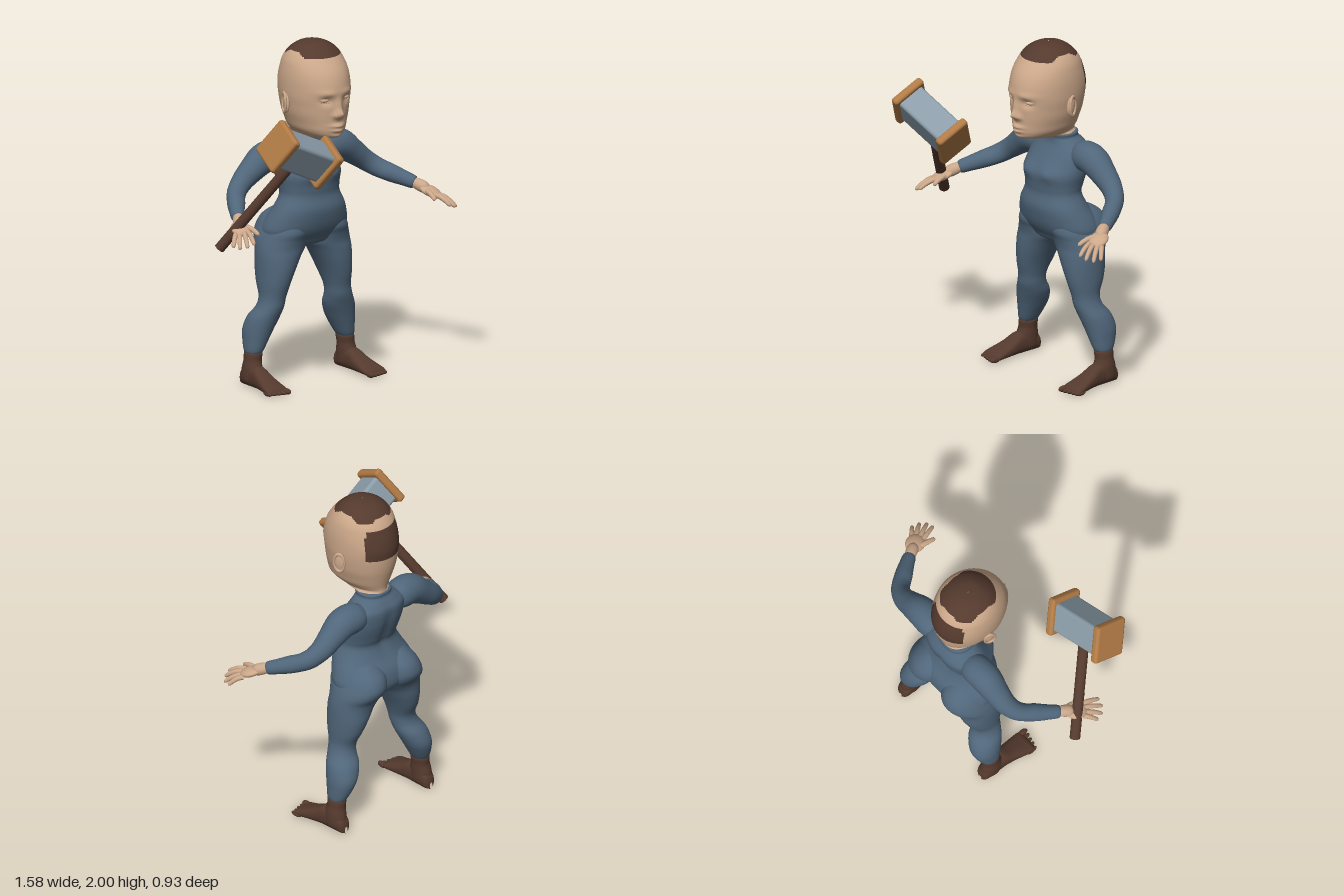
import * as THREE from 'three';
import { mergeVertices } from 'three/addons/utils/BufferGeometryUtils.js';
import { RoundedBoxGeometry } from 'three/addons/geometries/RoundedBoxGeometry.js';

const V = (x, y, z) => new THREE.Vector3(x, y, z);
const material = (name, hex) => {
  const m = new THREE.MeshStandardMaterial({ color: hex });
  m.name = name;
  return m;
};

// Catmull-Rom interpolation through a list of number rows
function sample(keys, t) {
  const f = t * (keys.length - 1), i = Math.min(Math.floor(f), keys.length - 2), s = f - i;
  const at = k => keys[Math.max(0, Math.min(keys.length - 1, k))];
  const [a, b, c, d] = [at(i - 1), at(i), at(i + 1), at(i + 2)];
  return b.map((_, n) => 0.5 * (2 * b[n] + (c[n] - a[n]) * s
    + (2 * a[n] - 5 * b[n] + 4 * c[n] - d[n]) * s * s
    + (3 * b[n] - a[n] - 3 * c[n] + d[n]) * s * s * s));
}

// Turn the faces outward and smooth the normals
function outward(geo) {
  const p = geo.attributes.position, ix = geo.index.array;
  const a = V(), b = V(), c = V();
  let volume = 0;
  for (let i = 0; i < ix.length; i += 3) {
    a.fromBufferAttribute(p, ix[i]); b.fromBufferAttribute(p, ix[i + 1]); c.fromBufferAttribute(p, ix[i + 2]);
    volume += a.dot(b.cross(c));
  }
  if (volume < 0) for (let i = 0; i < ix.length; i += 3) [ix[i], ix[i + 1]] = [ix[i + 1], ix[i]];
  geo.computeVertexNormals();
  return geo;
}

function welded(geo) {
  geo.deleteAttribute('uv');
  geo.deleteAttribute('normal');
  return outward(mergeVertices(geo, 1e-5));
}

// Closed skin through cross-sections; place(row, cos, sin) gives a point
function loft(keys, rows, segs, power, place) {
  const pos = [], idx = [];
  const soft = v => Math.sign(v) * Math.pow(Math.abs(v), 2 / power);
  for (let r = 0; r <= rows; r++) {
    const row = sample(keys, r / rows);
    for (let s = 0; s < segs; s++) {
      const th = (s / segs) * Math.PI * 2;
      pos.push(...place(row, soft(Math.cos(th)), soft(Math.sin(th))));
      if (r === rows) continue;
      const n = (s + 1) % segs, a = r * segs + s, b = r * segs + n;
      idx.push(a, a + segs, b, b, a + segs, b + segs);
    }
  }
  const geo = new THREE.BufferGeometry();
  geo.setAttribute('position', new THREE.Float32BufferAttribute(pos, 3));
  geo.setIndex(idx);
  return outward(geo);
}

// Tube along points [x, y, z, radius]
function limb(points, rows = 32, segs = 20) {
  const curve = new THREE.CatmullRomCurve3(points.map(p => V(p[0], p[1], p[2])));
  curve.getPointAt = t => curve.getPoint(t);
  const geo = new THREE.TubeGeometry(curve, rows, 1, segs), p = geo.attributes.position, v = V();
  for (let i = 0; i < p.count; i++) {
    const t = Math.floor(i / (segs + 1)) / rows, c = curve.getPoint(t);
    const r = Math.max(0.001, sample(points.map(q => [q[3]]), t)[0]);
    v.fromBufferAttribute(p, i).sub(c).multiplyScalar(r).add(c);
    p.setXYZ(i, v.x, v.y, v.z);
  }
  return welded(geo);
}

// Ellipsoid, its z axis along dir
function blob(x, y, z, rx, ry, rz, dir = V(0, 0, 1)) {
  const geo = new THREE.SphereGeometry(1, 24, 16).scale(rx, ry, rz);
  geo.applyMatrix4(new THREE.Matrix4().lookAt(dir, V(0, 0, 0), V(0, 1, 0)));
  return welded(geo.translate(x, y, z));
}

const bump = (x, y, cx, cy, sx, sy) => Math.exp(-(((x - cx) / sx) ** 2) - ((y - cy) / sy) ** 2);

export function createModel() {
  const model = new THREE.Group();
  model.name = 'figureWithMallet';
  const suit = material('blue suit', 0x50667a), skin = material('skin', 0xcca88a);
  const brown = material('dark brown', 0x553a2e), wood = material('light wood', 0xb07a45);
  const metal = material('grey metal', 0x8b9da9);

  const add = (name, geo, mat, parent = model) => {
    const mesh = new THREE.Mesh(geo, mat);
    mesh.name = name;
    parent.add(mesh);
    return mesh;
  };
  const pair = (name, geo, mat) => {
    add(name + 'Left', geo, mat);
    add(name + 'Right', outward(geo.clone().scale(-1, 1, 1)), mat);
  };

  // Torso: y, half width, front z, back z
  const torso = [
    [1.45, 0.02, -0.24, -0.28], [1.448, 0.1, -0.175, -0.352], [1.42, 0.106, -0.178, -0.358],
    [1.39, 0.15, -0.175, -0.38], [1.35, 0.19, -0.155, -0.4], [1.28, 0.2, -0.11, -0.395],
    [1.22, 0.2, -0.078, -0.38], [1.15, 0.187, -0.082, -0.355], [1.1, 0.187, -0.085, -0.34],
    [1.03, 0.222, -0.07, -0.365], [0.96, 0.255, -0.08, -0.41], [0.9, 0.272, -0.1, -0.425],
    [0.85, 0.25, -0.13, -0.42], [0.81, 0.15, -0.16, -0.39], [0.79, 0.02, -0.25, -0.3]];
  add('torso', loft(torso, 80, 56, 2.2, ([y, w, f, b], c, s) => {
    const x = w * c;
    let z = (f + b) / 2 + (f - b) / 2 * s;
    if (s > 0) z += 0.016 * bump(Math.abs(x), y, 0.09, 1.235, 0.05, 0.04);
    else z += 0.015 * bump(x, y, 0, 1.2, 0.03, 0.15);
    return [x, y, z];
  }), suit);

  // Legs: y, inner x, outer x, front z, back z
  const across = ([y, i, o, f, b], c, s) => [(i + o) / 2 + (o - i) / 2 * c, y, (f + b) / 2 + (f - b) / 2 * s];
  pair('leg', loft([
    [1.03, 0.1, 0.12, -0.28, -0.3], [1.01, 0.06, 0.18, -0.2, -0.37], [0.96, 0.015, 0.235, -0.13, -0.44],
    [0.9, 0.002, 0.268, -0.11, -0.466], [0.85, 0.002, 0.288, -0.125, -0.455], [0.8, 0.014, 0.3, -0.135, -0.42],
    [0.75, 0.052, 0.305, -0.135, -0.405], [0.68, 0.092, 0.306, -0.138, -0.397], [0.6, 0.13, 0.305, -0.15, -0.375],
    [0.52, 0.157, 0.303, -0.17, -0.34], [0.46, 0.166, 0.32, -0.178, -0.345], [0.4, 0.177, 0.355, -0.195, -0.385],
    [0.33, 0.207, 0.372, -0.215, -0.405], [0.27, 0.238, 0.375, -0.23, -0.395], [0.2, 0.278, 0.373, -0.25, -0.365],
    [0.19, 0.3, 0.35, -0.28, -0.34]], 80, 36, 2.1, across), suit);
  pair('ankle', loft([
    [0.2, 0.31, 0.34, -0.29, -0.33], [0.198, 0.279, 0.372, -0.25, -0.364], [0.15, 0.283, 0.38, -0.25, -0.364],
    [0.1, 0.284, 0.388, -0.235, -0.375], [0.03, 0.29, 0.385, -0.24, -0.38], [0.01, 0.32, 0.35, -0.29, -0.33]],
  24, 28, 2, across), brown);

  // Feet: z, centre x, half width, height
  pair('foot', loft([
    [-0.39, 0.335, 0.01, 0.04], [-0.375, 0.335, 0.036, 0.085], [-0.33, 0.336, 0.046, 0.12], [-0.24, 0.338, 0.05, 0.125],
    [-0.17, 0.342, 0.058, 0.09], [-0.1, 0.348, 0.068, 0.06], [-0.055, 0.35, 0.069, 0.042], [-0.035, 0.35, 0.05, 0.02]],
  40, 32, 2.5, ([z, x, w, h], c, s) => [x + w * c, h / 2 + h / 2 * s, z]), brown);
  for (let i = 0; i < 5; i++) {
    const r = i === 0 ? 0.018 : 0.0135;
    pair('toe' + (i + 1), blob(0.298 + 0.028 * i, r, -0.036 - 0.007 * i, r, r, 0.036), brown);
  }

  // Arms and hands
  pair('arm', limb([
    [0.1, 1.33, -0.29, 0.05], [0.17, 1.332, -0.29, 0.085], [0.27, 1.325, -0.285, 0.088], [0.36, 1.265, -0.285, 0.073],
    [0.44, 1.205, -0.277, 0.061], [0.5, 1.16, -0.24, 0.056], [0.55, 1.13, -0.175, 0.052],
    [0.595, 1.105, -0.11, 0.044], [0.63, 1.085, -0.055, 0.035], [0.635, 1.082, -0.047, 0.004]], 60, 28), suit);
  pair('wrist', limb([[0.62, 1.09, -0.07, 0.025], [0.637, 1.08, -0.04, 0.033], [0.66, 1.062, 0, 0.033], [0.68, 1.05, 0.03, 0.01]], 16), skin);
  pair('palm', blob(0.676, 1.045, 0.03, 0.056, 0.025, 0.068, V(0.4, -0.35, 0.85)), skin);
  const tips = [[0.7, 0.985, 0.19], [0.74, 0.97, 0.18], [0.772, 0.96, 0.15], [0.785, 0.965, 0.105]];
  const knuckles = [[0.665, 1.035, 0.08], [0.69, 1.03, 0.08], [0.71, 1.022, 0.065], [0.722, 1.02, 0.045]];
  const finger = (k, t, r) => limb([0, 0.35, 0.7, 0.93, 1].map((s, n) => [
    ...k.map((v, i) => v + (t[i] - v) * s + (i === 1 ? 0.012 * Math.sin(s * Math.PI) : 0)),
    r * [1.1, 1.05, 0.95, 0.75, 0.1][n]]), 16, 12);
  knuckles.forEach((k, i) => pair('finger' + (i + 1), finger(k, tips[i], 0.0135), skin));
  pair('thumb', finger([0.645, 1.05, 0.02], [0.628, 1.02, 0.14], 0.015), skin);

  // Head: y, half width, front z, back z, with pushed-out facial features
  const head = loft([
    [2, 0.003, -0.175, -0.181], [1.994, 0.055, -0.115, -0.24], [1.975, 0.1, -0.075, -0.285],
    [1.945, 0.138, -0.038, -0.322], [1.9, 0.165, 0.002, -0.358], [1.85, 0.178, 0.037, -0.38],
    [1.8, 0.184, 0.057, -0.396], [1.75, 0.185, 0.067, -0.405], [1.7, 0.183, 0.067, -0.402],
    [1.65, 0.176, 0.062, -0.396], [1.6, 0.167, 0.059, -0.386], [1.55, 0.151, 0.056, -0.372],
    [1.51, 0.137, 0.054, -0.36], [1.48, 0.115, 0.044, -0.352], [1.463, 0.098, 0.01, -0.35],
    [1.452, 0.096, -0.08, -0.35], [1.445, 0.098, -0.165, -0.35], [1.42, 0.098, -0.185, -0.35],
    [1.4, 0.04, -0.24, -0.3]], 108, 80, 2.05, ([y, w, f, b], c, s) => {
    const x = w * c, m = Math.abs(x);
    let z = (f + b) / 2 + (f - b) / 2 * s;
    if (s > 0) z += 0.04 * bump(x, y, 0, 1.612, 0.02, 0.026) + 0.02 * bump(x, y, 0, 1.655, 0.015, 0.04)
      + 0.014 * bump(m, y, 0.026, 1.602, 0.012, 0.014) - 0.02 * bump(m, y, 0.07, 1.69, 0.034, 0.024)
      + 0.008 * bump(m, y, 0.07, 1.735, 0.05, 0.018) + 0.02 * bump(x, y, 0, 1.541, 0.04, 0.011)
      + 0.019 * bump(x, y, 0, 1.515, 0.034, 0.011) + 0.01 * bump(x, y, 0, 1.478, 0.035, 0.016);
    return [x, y, z];
  });
  // Hair patches: the head faces on the crown and at the back
  const p = head.attributes.position, ix = head.index.array, faces = [[], []];
  for (let i = 0; i < ix.length; i += 6) {
    const quad = Array.from(ix.slice(i, i + 6));
    const mid = k => quad.reduce((sum, v) => sum + p.getComponent(v, k), 0) / 6;
    const x = Math.abs(mid(0)), y = mid(1), z = mid(2);
    const crown = y > 1.925 && x < 0.13 && z > -0.325 && z < -0.01;
    const nape = y > 1.7 && y < 1.885 && x < 0.135 && z < -0.325;
    faces[crown || nape ? 1 : 0].push(...quad);
  }
  head.setIndex([...faces[0], ...faces[1]]);
  head.addGroup(0, faces[0].length, 0);
  head.addGroup(faces[0].length, faces[1].length, 1);
  add('head', head, [skin, brown]);

  // Eyes and ears
  pair('eye', blob(0.072, 1.695, 0.022, 0.03, 0.013, 0.02, V(0.3, 0, 1)), skin);
  const lid = new THREE.TorusGeometry(1, 0.12, 8, 28).scale(0.033, 0.016, 0.03);
  pair('eyelid', welded(lid.rotateY(0.35).translate(0.072, 1.695, 0.034)), skin);
  pair('ear', blob(0.186, 1.655, -0.185, 0.014, 0.056, 0.034, V(0.25, 0.1, 1)), skin);
  const rim = new THREE.TorusGeometry(1, 0.2, 10, 28).scale(0.032, 0.056, 0.04);
  pair('earRim', welded(rim.rotateY(Math.PI / 2 + 0.4).translate(0.196, 1.658, -0.19)), skin);

  // Mallet: local x runs through the head, local y along the handle
  const mallet = new THREE.Group();
  mallet.name = 'mallet';
  const u = V(0.905, -0.416, -0.098).normalize();
  const w = u.clone().cross(V(0.41, 0.775, 0.478)).normalize();
  mallet.quaternion.setFromRotationMatrix(new THREE.Matrix4().makeBasis(u, w.clone().cross(u), w));
  mallet.position.set(-0.46, 1.5, 0.3);
  add('malletBlock', new RoundedBoxGeometry(0.36, 0.185, 0.17, 3, 0.02), metal, mallet);
  for (const side of [-1, 1]) {
    const cap = add(side < 0 ? 'malletCapRight' : 'malletCapLeft', new RoundedBoxGeometry(0.05, 0.24, 0.215, 3, 0.018), wood, mallet);
    cap.position.x = side * 0.187;
  }
  add('malletHandle', new THREE.CylinderGeometry(0.03, 0.03, 0.74, 24), brown, mallet).position.y = -0.37;
  model.add(mallet);
  return model;
}
